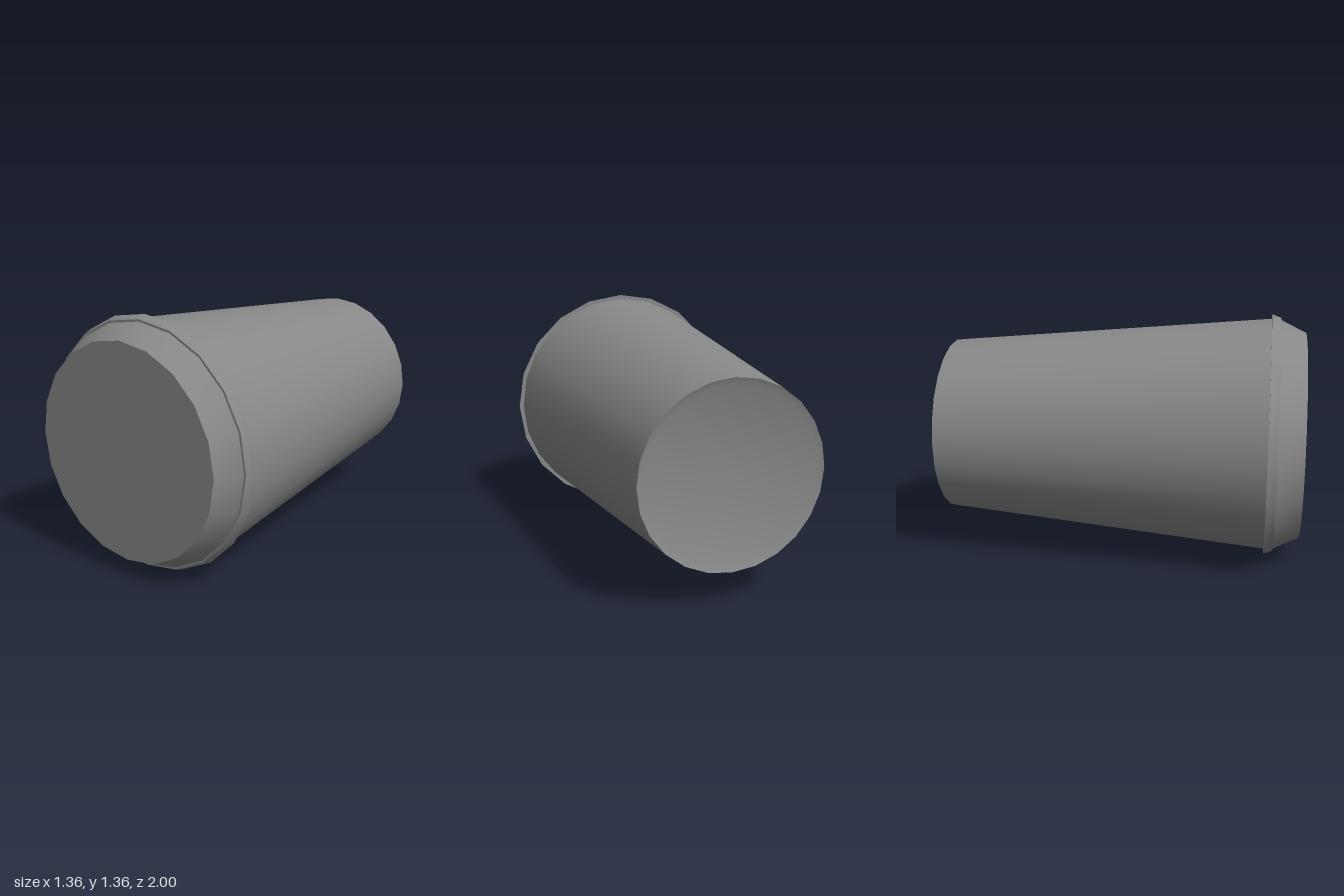
import * as THREE from 'three';
import { toCreasedNormals } from 'three/addons/utils/BufferGeometryUtils.js';

const RADIUS = 0.68;

// Turns a [radius, position along axis] profile into a named part
function turned(name, sides, profile) {
  const points = profile.map(([r, a]) => new THREE.Vector2(r, a));
  const geometry = toCreasedNormals(new THREE.LatheGeometry(points, sides), 0.42);
  const mesh = new THREE.Mesh(geometry, new THREE.MeshStandardMaterial({ color: 0x888888 }));
  mesh.name = name;
  return mesh;
}

export function createModel() {
  const group = new THREE.Group();
  group.name = 'liddedCup';

  // Tapered cup with a softly dished base
  group.add(turned('cupBody', 24, [
    [0, -0.985], [0.46, -0.985], [0.495, -1], [0.655, 0.82],
  ]));

  // Lid: underside of the lip, flared lip, small step, sloping shoulder, flat top
  group.add(turned('lid', 20, [
    [0.64, 0.81], [0.68, 0.81], [0.662, 0.86], [0.65, 0.86], [0.58, 1], [0, 1],
  ]));

  // Lay the cup on its side, lid to the front
  group.children.forEach((part) => {
    part.rotation.x = Math.PI / 2;
    part.position.y = RADIUS;
  });
  return group;
}
